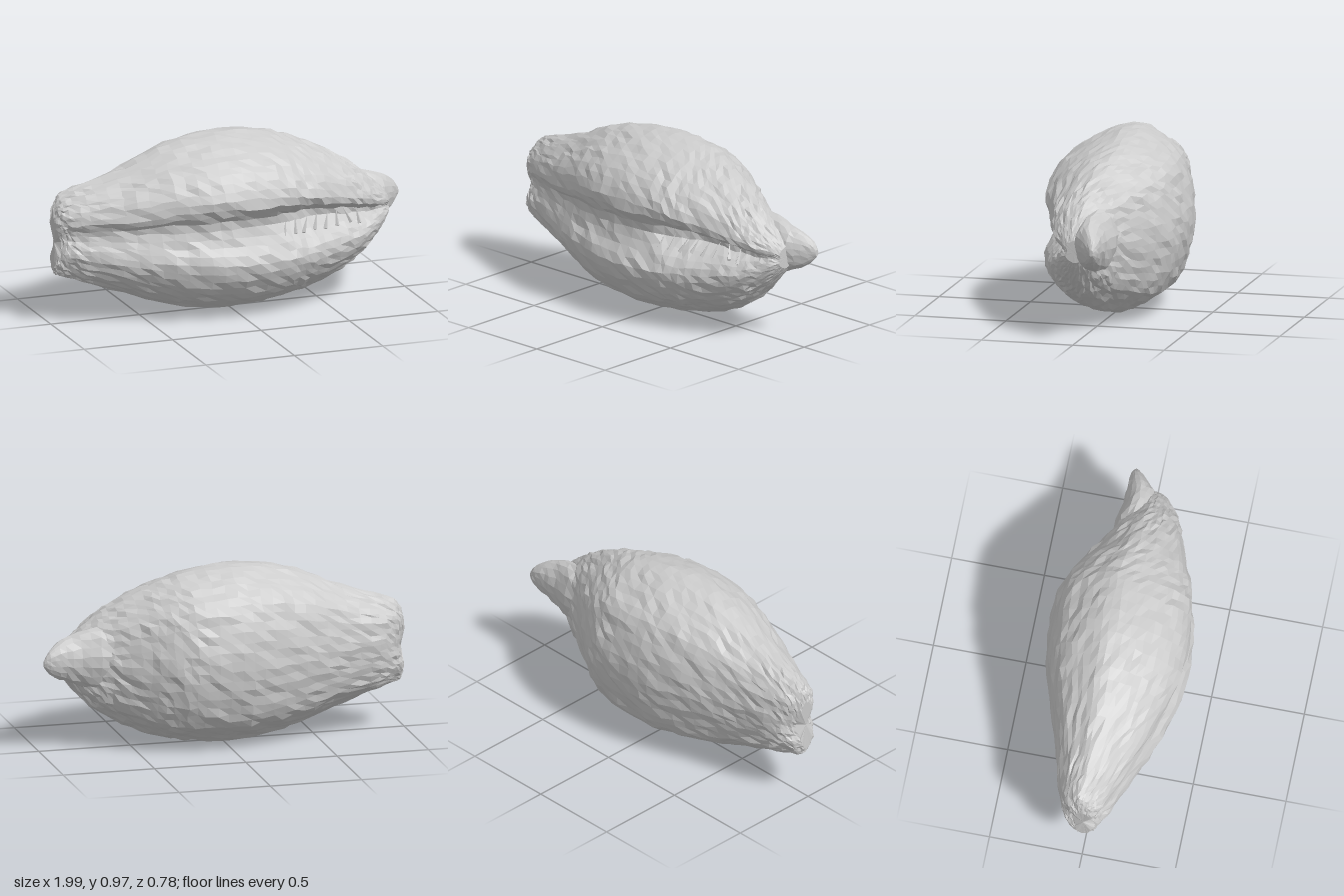
import * as THREE from 'three';

const material = new THREE.MeshStandardMaterial({ color: 0xcccccc, flatShading: true, side: THREE.DoubleSide });

// Seeded noise for the rough, wrinkled skin
function makeRandom(seed) {
  return () => {
    seed = (seed * 1664525 + 1013904223) % 4294967296;
    return seed / 4294967296 - 0.5;
  };
}

// Skins a closed outline [z, y] (both -1..1) through stations [x, yTop, yBottom, zFront, zBack]
function loft({ stations, outline, rings, sides, rough, seed, warp = () => {} }) {
  const rnd = makeRandom(seed);
  const heights = new THREE.CatmullRomCurve3(stations.map(s => new THREE.Vector3(s[0], s[1], s[2])), false, 'catmullrom', 0.5);
  const depths = new THREE.CatmullRomCurve3(stations.map(s => new THREE.Vector3(s[0], s[3], s[4])), false, 'catmullrom', 0.5);
  const loop = new THREE.CatmullRomCurve3(outline.map(p => new THREE.Vector3(p[0], p[1], 0)), true).getSpacedPoints(sides).slice(0, sides);
  const pos = [], index = [], centres = [];
  for (let i = 0; i <= rings; i++) {
    const h = heights.getPoint(i / rings), d = depths.getPoint(i / rings);
    const centre = new THREE.Vector3();
    loop.forEach(q => {
      const p = { x: h.x, u: q.x, v: q.y };
      warp(p);
      const r = rough * Math.min(1, (h.y - h.z) / 0.5);
      const v = new THREE.Vector3(
        p.x + rnd() * r * (i > 0 && i < rings ? 1 : 0.2),
        (h.y + h.z) / 2 + p.v * (h.y - h.z) / 2 + rnd() * r,
        (d.y + d.z) / 2 + p.u * (d.y - d.z) / 2 + rnd() * r);
      pos.push(v.x, v.y, v.z);
      centre.addScaledVector(v, 1 / sides);
    });
    centres.push(centre);
  }
  for (let i = 0; i < rings; i++) {
    for (let j = 0; j < sides; j++) {
      const k = (j + 1) % sides;
      const a = i * sides + j, b = a + sides, c = (i + 1) * sides + k, d = i * sides + k;
      index.push(a, d, c, a, c, b);
    }
  }
  // End caps
  const first = pos.length / 3, last = rings * sides;
  pos.push(...centres[0].toArray(), ...centres[rings].toArray());
  for (let j = 0; j < sides; j++) {
    const k = (j + 1) % sides;
    index.push(first, k, j, first + 1, last + j, last + k);
  }
  const geo = new THREE.BufferGeometry();
  geo.setAttribute('position', new THREE.Float32BufferAttribute(pos, 3));
  geo.setIndex(index);
  geo.computeVertexNormals();
  return geo;
}

function addMesh(group, name, geometry) {
  const mesh = new THREE.Mesh(geometry, material);
  mesh.name = name;
  group.add(mesh);
  return mesh;
}

export function createModel() {
  const group = new THREE.Group();
  group.name = 'seed';

  // Plump two-lobed body with a lengthwise groove along the front
  addMesh(group, 'seedBody', loft({
    stations: [
      [-0.99, 0.60, 0.30, 0.05, -0.05], [-0.97, 0.67, 0.27, 0.075, -0.09], [-0.92, 0.72, 0.25, 0.105, -0.13],
      [-0.80, 0.755, 0.21, 0.155, -0.17], [-0.60, 0.82, 0.14, 0.235, -0.22], [-0.40, 0.91, 0.065, 0.31, -0.29],
      [-0.20, 0.955, 0.02, 0.365, -0.35], [0, 0.968, 0.005, 0.382, -0.383], [0.20, 0.945, 0.02, 0.365, -0.382],
      [0.33, 0.905, 0.045, 0.335, -0.345], [0.45, 0.86, 0.08, 0.295, -0.27], [0.60, 0.78, 0.15, 0.24, -0.18],
      [0.70, 0.715, 0.215, 0.205, -0.13], [0.78, 0.645, 0.29, 0.16, -0.09], [0.85, 0.585, 0.37, 0.11, -0.06],
      [0.885, 0.54, 0.42, 0.07, -0.03],
    ],
    outline: [
      [-0.12, 1], [0.2, 0.95], [0.52, 0.83], [0.78, 0.67], [0.95, 0.46], [0.98, 0.33], [0.89, 0.21],
      [0.8, 0.13], [0.81, 0.03], [0.85, -0.08], [0.91, -0.18], [0.98, -0.29], [1, -0.38], [0.94, -0.52],
      [0.76, -0.72], [0.45, -0.89], [-0.1, -1], [-0.45, -0.87], [-0.76, -0.69], [-0.92, -0.38],
      [-1, 0], [-0.94, 0.35], [-0.8, 0.65], [-0.5, 0.86],
    ],
    rings: 48, sides: 60, rough: 0.014, seed: 7,
    warp: p => {
      // Groove cuts deeper toward the tip, then closes
      const open = THREE.MathUtils.smoothstep(p.x, 0.05, 0.5) * (1 - THREE.MathUtils.smoothstep(p.x, 0.72, 0.86));
      if (p.u > 0) p.u -= 0.38 * open * Math.exp(-(((p.v - 0.1) / 0.15) ** 2));
      // Notched blunt end
      if (p.x < -0.85) p.x += 0.035 * Math.max(0, 1 - Math.abs(p.v) * 1.6) * (-0.85 - p.x) / 0.14;
    },
  }));

  // Flattened stalk tip tucked in behind the body
  const round = [];
  for (let i = 0; i < 12; i++) {
    const a = i / 12 * Math.PI * 2;
    round.push([Math.sin(a), Math.cos(a)]);
  }
  addMesh(group, 'stalkTip', loft({
    stations: [
      [0.55, 0.68, 0.32, 0.04, -0.15], [0.68, 0.68, 0.33, 0.04, -0.155], [0.78, 0.655, 0.355, 0.04, -0.135],
      [0.86, 0.63, 0.385, 0.03, -0.13], [0.92, 0.605, 0.41, -0.01, -0.13], [0.97, 0.565, 0.45, -0.06, -0.125],
      [0.998, 0.52, 0.485, -0.09, -0.11],
    ],
    outline: round, rings: 11, sides: 18, rough: 0.018, seed: 21,
  }));

  // Thin ragged fibres standing in the groove
  const rnd = makeRandom(5);
  for (let i = 0; i < 8; i++) {
    const x = 0.22 + i * 0.065;
    const fibre = addMesh(group, 'grooveFibre', new THREE.ConeGeometry(0.012, 0.1, 4));
    fibre.position.set(x, 0.48 + rnd() * 0.02, 0.275 - 0.27 * (x - 0.22) + rnd() * 0.01);
    fibre.rotation.set(-0.45, 0, rnd() * 0.8);
  }
  return group;
}
